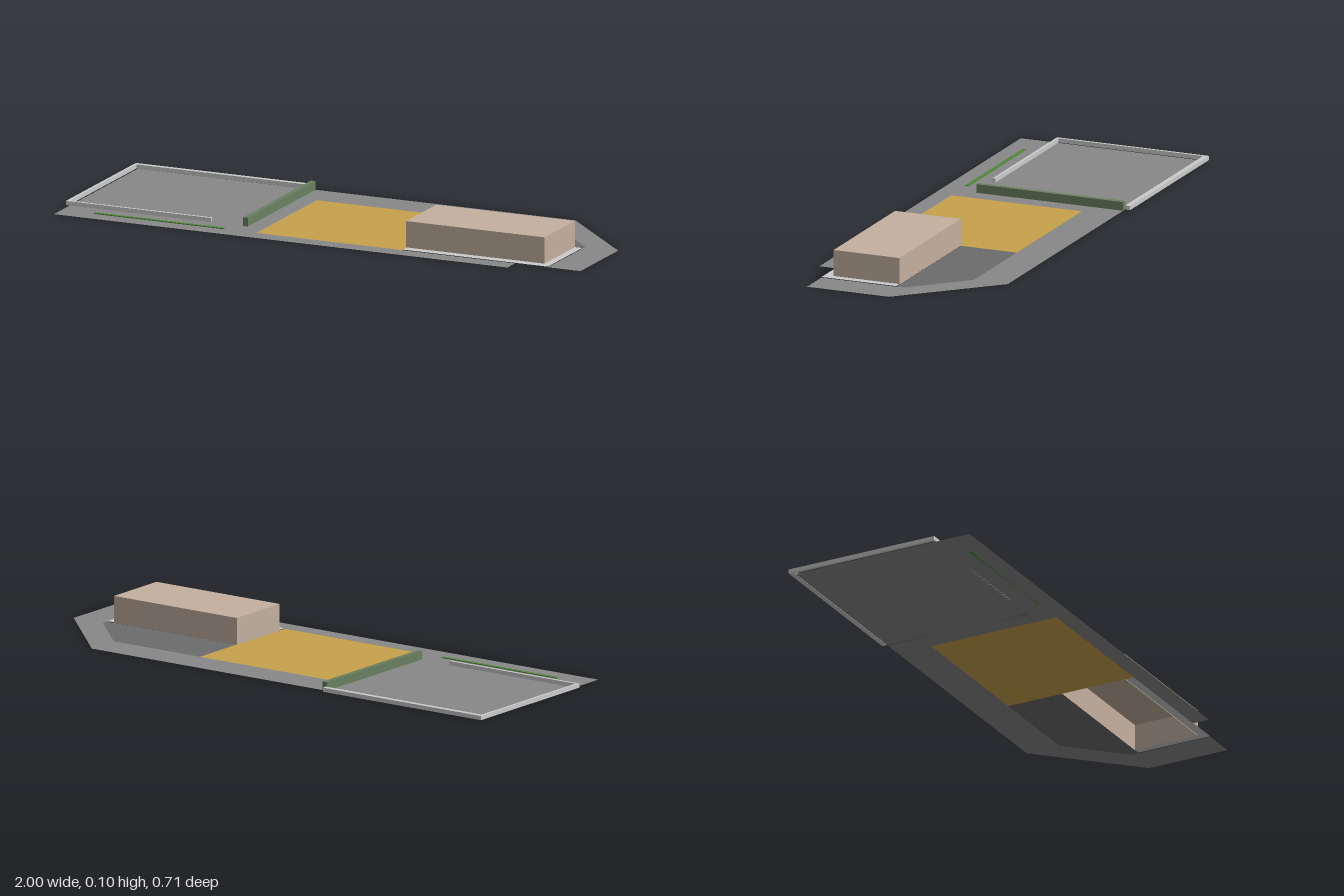
import * as THREE from 'three';

const mat = (color) => new THREE.MeshStandardMaterial({ color, side: THREE.DoubleSide, flatShading: true });
const asphalt = mat(0x888888), darkPaving = mat(0x6c6c6c), light = mat(0xcccccc);
const yellow = mat(0xc8a24c), tan = mat(0xc4b09f), hedgeGreen = mat(0x6a8060), grassGreen = mat(0x4e8a3a);

// Plan outline given as [x, z] pairs
const plan = (pts) => new THREE.Shape(pts.map(([x, z]) => new THREE.Vector2(x, -z)));
const rect = (x0, x1, z0, z1) => [[x0, z1], [x1, z1], [x1, z0], [x0, z0]];

export function createModel() {
  const group = new THREE.Group();
  const add = (name, geometry, material) => {
    const mesh = new THREE.Mesh(geometry, material);
    mesh.name = name;
    group.add(mesh);
    return mesh;
  };
  const sheet = (name, pts, material, y = 0) =>
    add(name, new THREE.ShapeGeometry(plan(pts)).rotateX(-Math.PI / 2).translate(0, y, 0), material);
  const raised = (name, pts, height, material) =>
    add(name, new THREE.ExtrudeGeometry(plan(pts), { depth: height, bevelEnabled: false }).rotateX(-Math.PI / 2), material);

  // Main ground wraps round the paved yard
  sheet('ground', [
    [-0.985, 0.29], [-0.24, 0.29], [-0.24, -0.205], [0.69, -0.205], [0.875, -0.02], [0.875, 0.29],
    [1, 0.29], [1, -0.02], [0.69, -0.334], [-0.985, -0.334],
  ], asphalt);
  sheet('frontStrip', rect(-0.985, 0.75, 0.29, 0.353), asphalt);

  // Yard patches
  sheet('yellowYard', rect(-0.24, 0.32, -0.205, 0.29), yellow);
  sheet('darkYard', [[0.32, 0.007], [0.875, 0.007], [0.875, -0.02], [0.69, -0.205], [0.32, -0.205]], darkPaving);

  // Light path round two sides of the building
  sheet('path', [
    [0.32, 0.29], [0.875, 0.29], [0.875, 0.007], [0.845, 0.007], [0.845, 0.257], [0.32, 0.257],
  ], light, 0.002);

  // Building: a box with an open underside
  const box = new THREE.BoxGeometry(0.53, 0.096, 0.249);
  const index = Array.from(box.index.array);
  index.splice(18, 6);
  box.setIndex(index);
  box.clearGroups();
  add('building', box, tan).position.set(0.582, 0.048, 0.132);

  // Low wall round three sides of the parking area
  raised('lowWall', [
    [-1, 0.222], [-0.445, 0.222], [-0.445, 0.212], [-0.99, 0.212],
    [-0.99, -0.335], [-0.32, -0.335], [-0.32, -0.353], [-1, -0.353],
  ], 0.015, light);

  // Hedge and grass strip
  raised('hedge', rect(-0.322, -0.304, -0.334, 0.222), 0.031, hedgeGreen);
  raised('grassStrip', rect(-0.86, -0.365, 0.278, 0.291), 0.003, grassGreen);
  return group;
}
